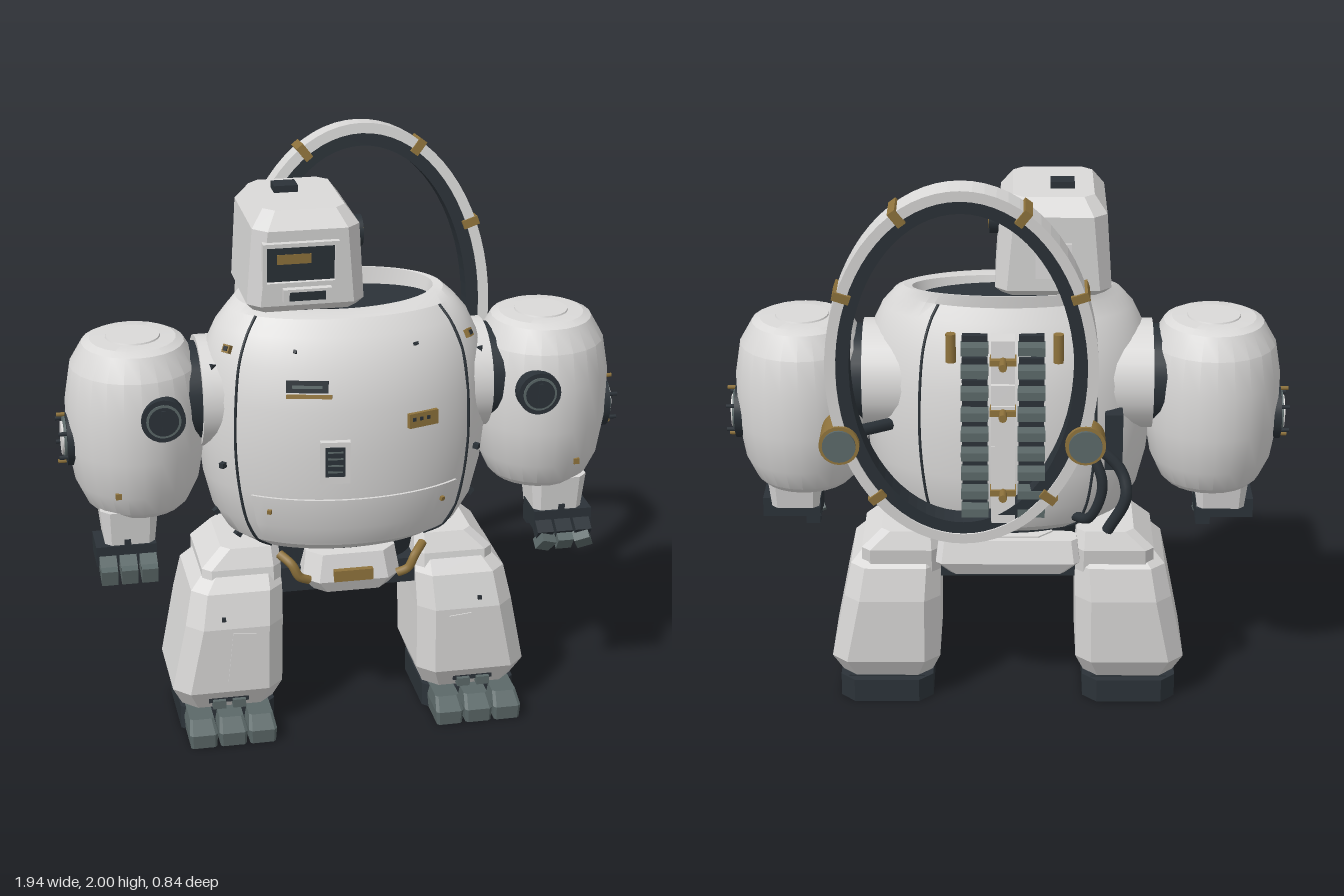
import * as THREE from 'three';
import { toCreasedNormals } from 'three/addons/utils/BufferGeometryUtils.js';

const paint = (name, color) => {
  const m = new THREE.MeshStandardMaterial({ color });
  m.name = name;
  return m;
};

export function createModel() {
  const white = paint('offWhite', 0xdad9d8), dark = paint('charcoal', 0x2b3238);
  const slate = paint('slate', 0x5b6868), gold = paint('brass', 0x8f733c);
  const model = new THREE.Group();
  model.name = 'robot';

  const add = (name, geo, mat, x = 0, y = 0, z = 0) => {
    const m = new THREE.Mesh(geo, mat);
    m.name = name;
    m.position.set(x, y, z);
    model.add(m);
    return m;
  };
  const box = (name, mat, x, y, z, w, h, d) => add(name, new THREE.BoxGeometry(w, h, d), mat, x, y, z);
  const disc = (name, mat, axis, x, y, z, r, len, sides = 24) => {
    const g = new THREE.CylinderGeometry(r, r, len, sides);
    if (axis === 'x') g.rotateZ(Math.PI / 2);
    if (axis === 'z') g.rotateX(Math.PI / 2);
    return add(name, g, mat, x, y, z);
  };
  const tube = (name, mat, pts, r, seg = 24) => add(name, new THREE.TubeGeometry(
    new THREE.CatmullRomCurve3(pts.map(p => new THREE.Vector3(...p))), seg, r, 8), mat);

  // Closed skin through horizontal rings listed from bottom to top
  const loft = (rings, crease) => {
    const n = rings[0].length, pos = [];
    const tri = (...p) => p.forEach(q => pos.push(...q));
    const mid = r => [0, 1, 2].map(k => r.reduce((s, p) => s + p[k], 0) / n);
    const low = rings[0], top = rings[rings.length - 1];
    for (let j = 0; j < n; j++) {
      const k = (j + 1) % n;
      for (let i = 0; i + 1 < rings.length; i++) {
        const a = rings[i], b = rings[i + 1];
        tri(a[j], b[j], a[k]);
        tri(a[k], b[j], b[k]);
      }
      tri(mid(low), low[j], low[k]);
      tri(mid(top), top[k], top[j]);
    }
    const g = new THREE.BufferGeometry();
    g.setAttribute('position', new THREE.Float32BufferAttribute(pos, 3));
    g.computeVertexNormals();
    return crease ? toCreasedNormals(g, crease) : g;
  };
  // Rectangle with cut corners
  const rect = (y, cx, hw, z0, z1, c) => [[hw, z0 + c], [hw, z1 - c], [hw - c, z1], [c - hw, z1],
    [-hw, z1 - c], [-hw, z0 + c], [c - hw, z0], [hw - c, z0]].map(([x, z]) => [cx + x, y, z]);
  // Ellipse, lower at the front by the given tilt
  const oval = (y, rx, rz, zc, tilt = 0, n = 64) => Array.from({ length: n }, (_, i) => {
    const a = i / n * Math.PI * 2;
    return [rx * Math.cos(a), y - tilt * Math.sin(a), zc + rz * Math.sin(a)];
  });

  // Torso: y, half width, half depth, centre z
  const body = [[0.67, 0.335, 0.19, 0.065], [0.72, 0.405, 0.272, 0.065], [0.8, 0.452, 0.308, 0.065],
    [0.92, 0.482, 0.322, 0.065], [1.06, 0.497, 0.327, 0.065], [1.22, 0.493, 0.321, 0.065],
    [1.36, 0.472, 0.287, 0.065], [1.45, 0.43, 0.24, 0.06], [1.5, 0.388, 0.205, 0.05]];
  const at = y => {
    let i = 0;
    while (i < body.length - 2 && y > body[i + 1][0]) i++;
    const t = (y - body[i][0]) / (body[i + 1][0] - body[i][0]);
    return body[i].map((v, k) => THREE.MathUtils.lerp(v, body[i + 1][k], t));
  };
  const skin = (x, y, s = 1) => {
    const [, rx, rz, zc] = at(y);
    return zc + s * rz * Math.sqrt(Math.max(0, 1 - (x / rx) ** 2));
  };
  add('torso', loft([...body.map(b => oval(...b)), oval(1.525, 0.355, 0.19, 0.03, 0.018),
    oval(1.525, 0.325, 0.165, 0.01, 0.018), oval(1.475, 0.315, 0.16, 0.01)], 0.45), white);
  add('neckOpening', loft([oval(1.465, 0.315, 0.16, 0.01), oval(1.482, 0.315, 0.16, 0.01)]), dark);
  for (const sx of [1, -1]) for (const [cx, cz] of [[0.8, 0.6], [0.6, -0.8]]) {
    tube('torsoSeam', dark, body.map(([y, rx, rz, zc]) => [sx * rx * cx, y, zc + rz * cz]), 0.005, 40);
  }
  // Raised belly panel wrapped round the lower front
  const wrap = y => {
    const [, rx, rz, zc] = at(y);
    const front = Array.from({ length: 17 }, (_, i) => {
      const a = 0.76 + i / 16 * (Math.PI - 1.52);
      return [(rx + 0.008) * Math.cos(a), y, zc + (rz + 0.01) * Math.sin(a)];
    });
    return [...front, [-0.28, y, 0.1], [0.28, y, 0.1]];
  };
  add('bellyPanel', loft([0.735, 0.8, 0.91].map(wrap), 0.45), white);

  // Chest fittings that follow the torso surface
  const fit = (name, mat, x, y, w, h, d, lift = 0) => {
    const e = 0.01, z = skin(x, y);
    const nrm = new THREE.Vector3((skin(x - e, y) - skin(x + e, y)) / (2 * e),
      (skin(x, y - e) - skin(x, y + e)) / (2 * e), 1).normalize();
    const m = box(name, mat, x, y, z, w, h, d);
    m.position.addScaledVector(nrm, lift);
    m.lookAt(m.position.clone().add(nrm));
    return m;
  };
  fit('chestVent', dark, -0.17, 1.305, 0.14, 0.04, 0.016);
  fit('chestVentBar', slate, -0.17, 1.305, 0.1, 0.01, 0.016, 0.003);
  fit('chestVentTrim', gold, -0.165, 1.274, 0.15, 0.012, 0.03);
  fit('chestTag', gold, 0.215, 1.17, 0.11, 0.05, 0.016, 0.006);
  for (const i of [-1, 0, 1]) fit('tagMark', dark, 0.205 + i * 0.025, 1.175, 0.012, 0.012, 0.016, 0.01);
  fit('hatchFrame', white, -0.085, 1.05, 0.1, 0.15, 0.03);
  fit('hatch', dark, -0.085, 1.055, 0.066, 0.105, 0.03, 0.004);
  for (let i = 0; i < 4; i++) fit('hatchSlat', slate, -0.085, 1.02 + i * 0.023, 0.05, 0.006, 0.03, 0.006);
  for (const s of [1, -1]) {
    [[0.405, 1.395, 0.028, gold], [0.405, 1.395, 0.016, dark], [0.452, 1.325, 0.024, dark], [0.2, 1.41, 0.01, dark],
      [0.44, 0.79, 0.02, dark], [0.365, 0.695, 0.022, dark], [0.29, 0.86, 0.014, gold], [0.43, 1.0, 0.018, dark]]
      .forEach(([x, y, w, m]) => fit('bolt', m, s * x, y, w, w, 0.046 - w * 0.5));
  }

  // Back: spine, radiator slats and brass studs
  for (let i = 0; i < 9; i++) {
    const y = 0.82 + i * 0.071, z = skin(0, y, -1);
    box('spine', white, 0.015, y, z - 0.015, 0.08, 0.073, 0.09);
    for (const x of [-0.08, 0.11]) {
      box('radiatorBack', dark, x, y, z + 0.01, 0.085, 0.071, 0.03);
      box('radiatorSlat', slate, x, y, z - 0.03, 0.092, 0.03, 0.07);
    }
  }
  for (const y of [0.9, 1.19, 1.355]) {
    const z = skin(0, y, -1);
    disc('spineStud', gold, 'z', 0.015, y, z - 0.08, 0.014, 0.07, 8);
    box('spineClip', gold, 0.015, y, z - 0.04, 0.088, 0.02, 0.06);
  }
  for (const x of [-0.17, 0.19]) disc('backRod', gold, 'y', x, 1.38, skin(x, 1.38, -1) - 0.02, 0.018, 0.1, 10);

  // Head
  const hx = -0.152;
  disc('neck', dark, 'y', hx, 1.51, 0.03, 0.14, 0.07);
  add('head', loft([rect(1.535, hx, 0.172, -0.12, 0.24, 0.035), rect(1.56, hx, 0.195, -0.15, 0.26, 0.04),
    rect(1.82, hx, 0.177, -0.17, 0.28, 0.045), rect(1.877, hx, 0.135, -0.125, 0.235, 0.035)]), white);
  box('headCap', dark, -0.182, 1.885, 0.005, 0.08, 0.03, 0.07);
  const face = (name, mat, x, y, w, h, lift, d = 0.02) => {
    box(name, mat, x, y, 0.26 + (y - 1.56) * 0.075 + lift, w, h, d).rotation.x = 0.075;
  };
  face('visor', dark, -0.177, 1.708, 0.225, 0.122, -0.006);
  face('visorLight', gold, -0.198, 1.724, 0.112, 0.034, -0.005);
  for (const y of [1.64, 1.776]) face('visorRim', white, -0.177, y, 0.25, 0.014, 0.003, 0.03);
  for (const x of [-0.296, -0.058]) face('visorRim', white, x, 1.708, 0.013, 0.15, 0.003, 0.03);
  face('mouthFrame', white, -0.155, 1.6, 0.16, 0.046, 0.006, 0.03);
  face('mouthVent', dark, -0.155, 1.598, 0.12, 0.03, 0.013);
  box('headBackPanel', white, hx, 1.67, -0.16, 0.12, 0.12, 0.03);
  disc('earRing', dark, 'x', 0.038, 1.745, 0.075, 0.053, 0.05);
  disc('earDisc', gold, 'x', 0.044, 1.745, 0.075, 0.036, 0.045);

  // Pelvis
  add('waist', loft([oval(0.56, 0.24, 0.16, 0.05), oval(0.69, 0.28, 0.17, 0.06)]), dark);
  box('pelvisBase', dark, 0, 0.535, 0.04, 0.47, 0.09, 0.3);
  add('pelvis', loft([rect(0.515, 0, 0.13, -0.13, 0.27, 0.04), rect(0.56, 0, 0.17, -0.14, 0.29, 0.05),
    rect(0.655, 0, 0.155, -0.14, 0.27, 0.05)]), white);
  add('rearBeam', loft([rect(0.52, 0, 0.2, -0.16, -0.08, 0.02), rect(0.57, 0, 0.25, -0.185, -0.08, 0.02),
    rect(0.65, 0, 0.24, -0.165, -0.08, 0.02)]), white);
  box('pelvisTag', gold, -0.003, 0.585, 0.287, 0.135, 0.04, 0.03);

  // Foot sole outline, open in the middle
  const cut = (p, hw, z0, z1, c) => p.setFromPoints(rect(0, 0, hw, z0, z1, c).map(([x, , z]) => new THREE.Vector2(x, -z)));
  const soleShape = cut(new THREE.Shape(), 0.165, -0.13, 0.245, 0.05);
  soleShape.holes.push(cut(new THREE.Path(), 0.125, -0.09, 0.17, 0.03));
  const soleGeo = new THREE.ExtrudeGeometry(soleShape, { depth: 0.085, bevelEnabled: false }).rotateX(-Math.PI / 2);

  for (const s of [1, -1]) {
    tube('hipPipe', gold, [[s * 0.25, 0.66, 0.24], [s * 0.215, 0.635, 0.28], [s * 0.19, 0.59, 0.285],
      [s * 0.155, 0.57, 0.275]], 0.016);

    // Legs
    add('hip', loft([rect(0.5, s * 0.373, 0.138, -0.12, 0.22, 0.03), rect(0.6, s * 0.373, 0.137, -0.14, 0.21, 0.03),
      rect(0.665, s * 0.34, 0.1, -0.12, 0.18, 0.03)]), white);
    add('leg', loft([rect(0.09, s * 0.43, 0.16, -0.1, 0.23, 0.05), rect(0.165, s * 0.433, 0.192, -0.145, 0.272, 0.055),
      rect(0.41, s * 0.407, 0.169, -0.16, 0.28, 0.055), rect(0.53, s * 0.393, 0.158, -0.14, 0.25, 0.05),
      rect(0.58, s * 0.375, 0.13, -0.1, 0.21, 0.04)]), white);
    box('shinPanel', white, s * 0.39, 0.29, 0.276, 0.08, 0.2, 0.008).rotation.set(0.033, 0, s * 0.1);
    box('legBolt', dark, s * 0.45, 0.445, 0.272, 0.014, 0.014, 0.012);

    // Feet
    box('ankleSlot', dark, s * 0.435, 0.135, 0.22, 0.14, 0.035, 0.07);
    for (const i of [-1, 1]) box('ankleBlock', slate, s * (0.435 + i * 0.035), 0.115, 0.23, 0.045, 0.03, 0.08);
    add('footSole', soleGeo, dark, s * 0.432);
    box('footPlate', dark, s * 0.432, 0.077, 0.04, 0.27, 0.025, 0.28);
    disc('footJoint', dark, 'x', s * 0.432, 0.06, 0.02, 0.045, 0.16, 12);
    for (const i of [-1, 1]) box('footRail', slate, s * 0.432 + i * 0.095, 0.05, 0.04, 0.03, 0.04, 0.26);
    for (const i of [-1, 0, 1]) {
      const x = s * (0.435 + i * 0.103);
      add('toe', loft([rect(0, x, 0.045, 0.17, 0.355, 0.008), rect(0.05, x, 0.049, 0.17, 0.36, 0.01),
        rect(0.088, x, 0.042, 0.17, 0.31, 0.01)]), slate);
    }

    // Shoulders and arms
    disc('shoulderCollar', white, 'x', s * 0.425, 1.2, 0.035, 0.19, 0.14);
    disc('shoulderJoint', dark, 'x', s * 0.51, 1.2, 0.035, 0.17, 0.12);
    const prof = [[0, 0.812], [0.155, 0.815], [0.175, 0.835], [0.21, 0.91], [0.232, 1.04], [0.235, 1.2],
      [0.215, 1.32], [0.172, 1.395], [0.145, 1.408], [0.092, 1.41], [0.09, 1.415], [0, 1.415]];
    const g = new THREE.LatheGeometry(prof.map(p => new THREE.Vector2(...p)), 24);
    g.scale(1, 1, 1.05);
    add('arm', toCreasedNormals(g, 0.4), white, s * 0.705, 0, 0.035);
    disc('portholeRim', dark, 'z', s * 0.638, 1.197, 0.265, 0.074, 0.05);
    disc('portholeRing', slate, 'z', s * 0.638, 1.197, 0.269, 0.058, 0.05);
    disc('portholeGlass', dark, 'z', s * 0.638, 1.197, 0.272, 0.05, 0.05);
    box('portholeBar', dark, s * 0.638, 1.197, 0.278, 0.014, 0.08, 0.05);
    disc('elbowBase', dark, 'x', s * 0.917, 1.06, 0.03, 0.095, 0.05);
    disc('elbowRing', slate, 'x', s * 0.925, 1.06, 0.03, 0.075, 0.05);
    disc('elbowCap', white, 'x', s * 0.932, 1.06, 0.03, 0.057, 0.05);
    for (let i = 0; i < 6; i++) {
      const a = i * Math.PI / 3;
      disc('elbowPin', i % 3 ? dark : gold, 'x', s * 0.945, 1.06 + 0.085 * Math.cos(a), 0.03 + 0.085 * Math.sin(a), 0.007, 0.05, 6);
    }
    box('armBolt', gold, s * 0.79, 0.92, 0.237, 0.02, 0.02, 0.02);
    box('armTopBolt', dark, s * 0.865, 1.355, 0.1, 0.022, 0.022, 0.022);

    // Wrist and hand
    add('wrist', loft([rect(0.695, s * 0.75, 0.083, 0.01, 0.18, 0.02), rect(0.84, s * 0.75, 0.098, -0.02, 0.2, 0.03)]), white);
    box('wristBolt', dark, s * 0.76, 0.725, 0.18, 0.022, 0.022, 0.02);
    box('palm', dark, s * 0.765, 0.68, 0.12, 0.205, 0.07, 0.14);
    for (const i of [-1, 0, 1]) {
      const x = s * (0.762 + i * 0.068), open = s > 0;
      box('fingerBase', open ? dark : slate, x, 0.655, 0.185, 0.058, 0.05, 0.08).rotation.x = 0.6;
      const tip = box('fingerTip', slate, x, open ? 0.615 : 0.63, 0.22, 0.055, 0.055, open ? 0.04 : 0.06);
      tip.rotation.set(open ? 0.6 : 0.2, 0, open ? i * 0.4 : 0);
    }
    box('thumb', dark, s * 0.69, 0.655, 0.06, 0.05, 0.06, 0.05);
  }

  // Tilted hoop behind the torso
  const hoop = new THREE.Group();
  hoop.name = 'hoop';
  hoop.position.set(0.15, 1.35, -0.32);
  hoop.rotation.x = -0.1;
  model.add(hoop);
  const band = (name, mat, inset, thick, depth) => {
    const shape = new THREE.Shape().absellipse(0, 0, 0.45 - inset, 0.645 - inset, 0, Math.PI * 2);
    shape.holes.push(new THREE.Path().absellipse(0, 0, 0.45 - inset - thick, 0.645 - inset - thick, 0, Math.PI * 2));
    const geo = new THREE.ExtrudeGeometry(shape, { depth, bevelEnabled: false, curveSegments: 36 });
    geo.translate(0, 0, -depth / 2);
    hoop.add(add(name, geo, mat));
  };
  band('hoopBand', white, 0, 0.036, 0.09);
  band('hoopLining', dark, 0.035, 0.045, 0.078);
  for (const deg of [26, 62, 118, 154, 228, 312]) {
    const t = THREE.MathUtils.degToRad(deg);
    const c = box('hoopClamp', gold, 0.43 * Math.cos(t), 0.625 * Math.sin(t), 0, 0.058, 0.03, 0.106);
    c.rotation.z = Math.atan2(Math.sin(t) * 0.45, Math.cos(t) * 0.65);
    hoop.add(c);
  }

  // Hoop hubs and their hoses
  for (const [x, len] of [[-0.26, 0.08], [0.56, 0.14]]) {
    disc('hub', gold, 'z', x, 1.085, len / 2 - 0.355, 0.068, len);
    disc('hubCap', slate, 'z', x, 1.085, len / 2 - 0.365, 0.056, len);
  }
  tube('hose', dark, [[-0.26, 1.085, -0.27], [-0.38, 0.97, -0.28], [-0.4, 0.88, -0.3], [-0.34, 0.74, -0.27]], 0.02);
  tube('hose', dark, [[-0.26, 1.085, -0.27], [-0.32, 0.92, -0.29], [-0.28, 0.78, -0.25], [-0.22, 0.74, -0.14]], 0.018);
  tube('strut', dark, [[0.56, 1.085, -0.24], [0.49, 1.08, -0.2], [0.4, 1.07, -0.12]], 0.022);
  box('hoseBracket', dark, -0.36, 1.04, -0.165, 0.06, 0.2, 0.1);
  return model;
}
